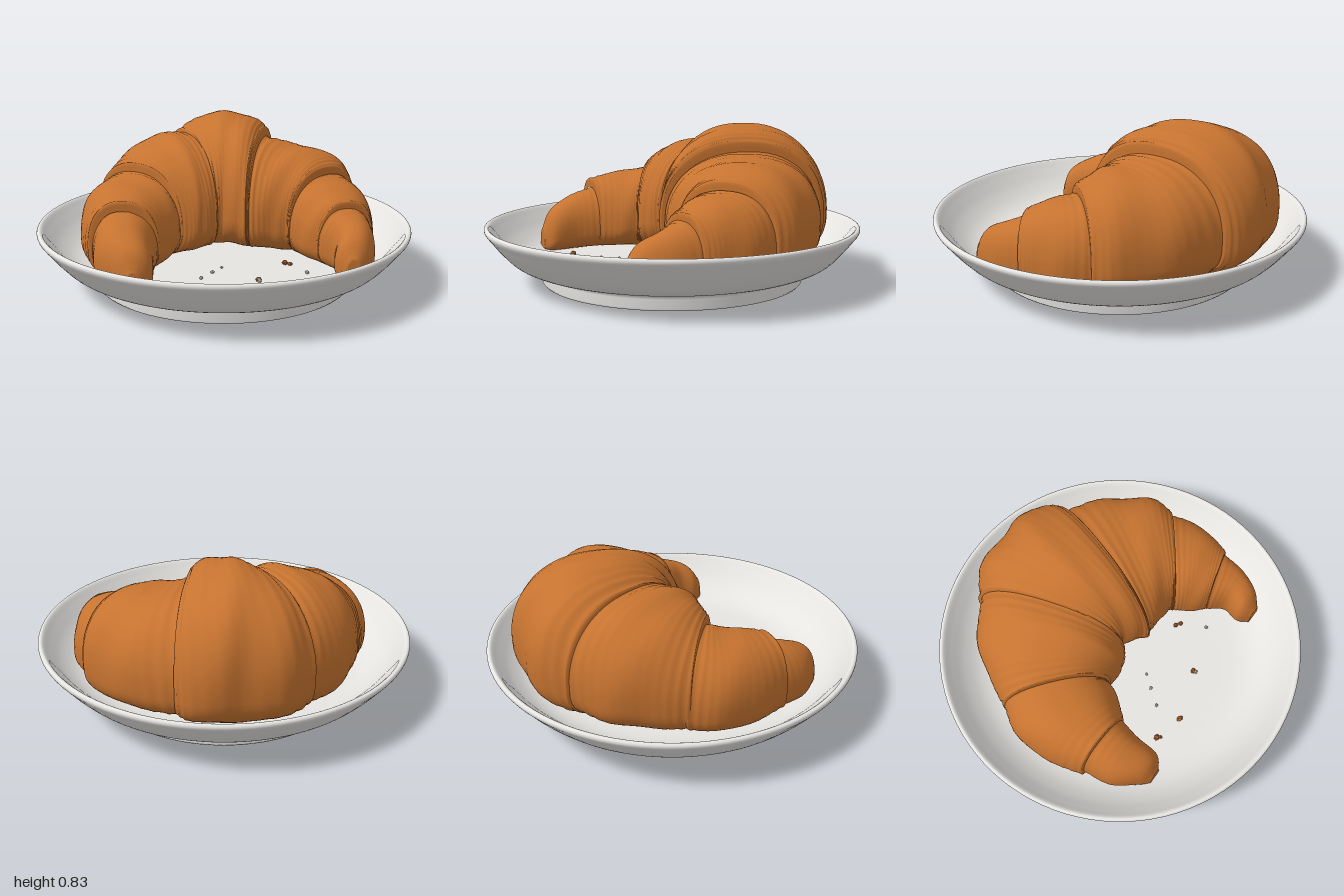
import * as THREE from 'three';

const FLOOR = 0.105;

// Each wrap of dough: cross-sections as [outer x, outer z, inner x, inner z, top y]
const WRAPS = {
  rightTip: [[-0.5, 0.61, -0.42, 0.605, 0.23], [-0.56, 0.56, -0.37, 0.55, 0.33],
    [-0.65, 0.45, -0.365, 0.42, 0.4], [-0.69, 0.28, -0.345, 0.28, 0.45]],
  rightOuterWrap: [[-0.71, 0.3, -0.34, 0.3, 0.5], [-0.77, 0.08, -0.27, 0.2, 0.53],
    [-0.765, -0.1, -0.24, 0.13, 0.55], [-0.69, -0.26, -0.23, 0.11, 0.57]],
  rightInnerWrap: [[-0.7, -0.24, -0.23, 0.12, 0.62], [-0.62, -0.42, -0.15, 0.12, 0.69],
    [-0.5, -0.6, -0.1, 0.11, 0.73], [-0.31, -0.73, -0.03, 0.06, 0.73]],
  middleWrap: [[-0.34, -0.73, -0.05, 0.06, 0.74], [-0.2, -0.83, -0.02, 0.04, 0.8],
    [0, -0.84, 0.01, 0.045, 0.83], [0.12, -0.85, 0.06, 0.08, 0.825],
    [0.28, -0.8, 0.1, 0.11, 0.79], [0.34, -0.74, 0.12, 0.12, 0.75]],
  leftInnerWrap: [[0.32, -0.73, 0.12, 0.1, 0.7], [0.52, -0.62, 0.2, 0.1, 0.67],
    [0.63, -0.51, 0.27, 0.1, 0.655], [0.75, -0.36, 0.32, 0.1, 0.63],
    [0.765, -0.24, 0.34, 0.12, 0.59]],
  leftOuterWrap: [[0.75, -0.26, 0.34, 0.11, 0.55], [0.81, -0.08, 0.39, 0.17, 0.52],
    [0.805, 0.05, 0.44, 0.22, 0.49], [0.79, 0.15, 0.48, 0.25, 0.46]],
  leftTip: [[0.78, 0.13, 0.48, 0.25, 0.43], [0.77, 0.3, 0.55, 0.33, 0.38],
    [0.73, 0.41, 0.545, 0.42, 0.33], [0.67, 0.48, 0.59, 0.48, 0.24]],
};

const power = (v, p) => Math.sign(v) * Math.abs(v) ** p;

// Sweeps a flat-bottomed oval through the sections; seam lips tuck into the next
// wrap, and the two ends of the crescent close completely
function wrapGeometry(sections, startSize, endSize) {
  const outer = new THREE.CatmullRomCurve3(sections.map(s => new THREE.Vector3(s[0], s[4], s[1])));
  const inner = new THREE.CatmullRomCurve3(sections.map(s => new THREE.Vector3(s[2], s[4], s[3])));
  const rings = 60, sides = 72;
  const rows = [[0, startSize], [0, 0.94]];
  for (let i = 0; i <= rings; i++) rows.push([i / rings, 1]);
  rows.push([1, 0.94], [1, endSize]);

  const positions = [], indices = [];
  rows.forEach(([u, size], i) => {
    const o = outer.getPoint(u), n = inner.getPoint(u);
    const midY = FLOOR + 0.38 * (o.y - FLOOR);
    const seam = Math.exp(-7 * Math.min(u, 1 - u));
    for (let j = 0; j < sides; j++) {
      const a = (j / sides) * Math.PI * 2;
      const c = Math.cos(a), s = Math.sin(a);
      // Fine wavering ridges close to the seams, soft lumps between them
      const ridge = -0.03 * seam * Math.abs(Math.sin(u * 36 + 0.7 * Math.sin(2 * a + o.z * 5)));
      const lump = 0.012 * Math.sin(3 * a + 9 * u + o.x * 7) * Math.sin(u * Math.PI);
      const k = size * (1 + ridge + lump);
      const across = 0.5 + 0.5 * power(c, c > 0 ? 0.82 : 0.88) * k;
      const up = s > 0 ? (o.y - midY) * power(s, 0.93) : (midY - FLOOR) * power(s, 0.65);
      positions.push(n.x + (o.x - n.x) * across, midY + up * k, n.z + (o.z - n.z) * across);
      if (i < rows.length - 1) {
        const p = i * sides + j, q = i * sides + (j + 1) % sides;
        indices.push(p, q, p + sides, q, q + sides, p + sides);
      }
    }
  });
  const geometry = new THREE.BufferGeometry();
  geometry.setAttribute('position', new THREE.Float32BufferAttribute(positions, 3));
  geometry.setIndex(indices);
  geometry.computeVertexNormals();
  return geometry;
}

function plateGeometry() {
  // Underside with a raised centre disc inside the hollow foot ring
  const foot = [[0, 0.006], [0.39, 0.006], [0.4, 0.008], [0.42, 0.022], [0.48, 0.05], [0.53, 0.065],
    [0.58, 0.066], [0.625, 0.05], [0.655, 0.02], [0.668, 0.004], [0.68, 0], [0.695, 0],
    [0.703, 0.01], [0.698, 0.055], [0.705, 0.07], [0.73, 0.085]];
  // Bowl from the foot over the rim to the middle
  const bowl = new THREE.SplineCurve([[0.73, 0.085], [0.79, 0.095], [0.86, 0.13], [0.925, 0.195],
    [0.97, 0.25], [0.995, 0.282], [1, 0.3], [0.992, 0.311], [0.975, 0.307], [0.94, 0.265],
    [0.88, 0.2], [0.8, 0.143], [0.7, 0.112], [0.55, FLOOR], [0.3, FLOOR], [0, FLOOR]]
    .map(p => new THREE.Vector2(...p))).getPoints(75);
  const profile = foot.map(p => new THREE.Vector2(...p)).concat(bowl.slice(1));
  return new THREE.LatheGeometry(profile, 96);
}

export function createModel() {
  const model = new THREE.Group();
  const porcelain = new THREE.MeshStandardMaterial({ name: 'porcelain', color: 0xe6e4e1 });
  const crust = new THREE.MeshStandardMaterial({ name: 'goldenCrust', color: 0xc67330 });

  const add = (name, geometry, material, parent = model) => {
    const mesh = new THREE.Mesh(geometry, material);
    mesh.name = name;
    parent.add(mesh);
    return mesh;
  };

  add('plate', plateGeometry(), porcelain);

  const croissant = new THREE.Group();
  croissant.name = 'croissant';
  model.add(croissant);
  for (const [name, sections] of Object.entries(WRAPS)) {
    const startSize = name === 'rightTip' ? 0 : 0.8;
    const endSize = name === 'leftTip' ? 0 : 0.8;
    add(name, wrapGeometry(sections, startSize, endSize), crust, croissant);
  }

  // Crumbs: [x, z, radius, material]
  const crumbs = new THREE.Group();
  crumbs.name = 'crumbs';
  model.add(crumbs);
  [[-0.275, 0.48, 0.018, crust], [-0.26, 0.495, 0.012, crust], [-0.11, 0.515, 0.019, crust],
    [0.16, 0.405, 0.016, crust], [0.165, 0.42, 0.013, porcelain], [0.32, 0.16, 0.017, crust],
    [0.345, 0.175, 0.014, crust], [-0.13, 0.365, 0.011, porcelain], [-0.07, 0.28, 0.011, porcelain],
    [-0.02, 0.21, 0.009, porcelain], [0.42, 0.305, 0.012, porcelain]].forEach(([x, z, r, material], i) => {
    const crumb = add('crumb', new THREE.IcosahedronGeometry(r, 0), material, crumbs);
    crumb.position.set(x, FLOOR + r * 0.6, z);
    crumb.rotation.set(i, i * 2, 0);
    crumb.scale.set(1.1, 0.8, 0.9);
  });

  return model;
}
